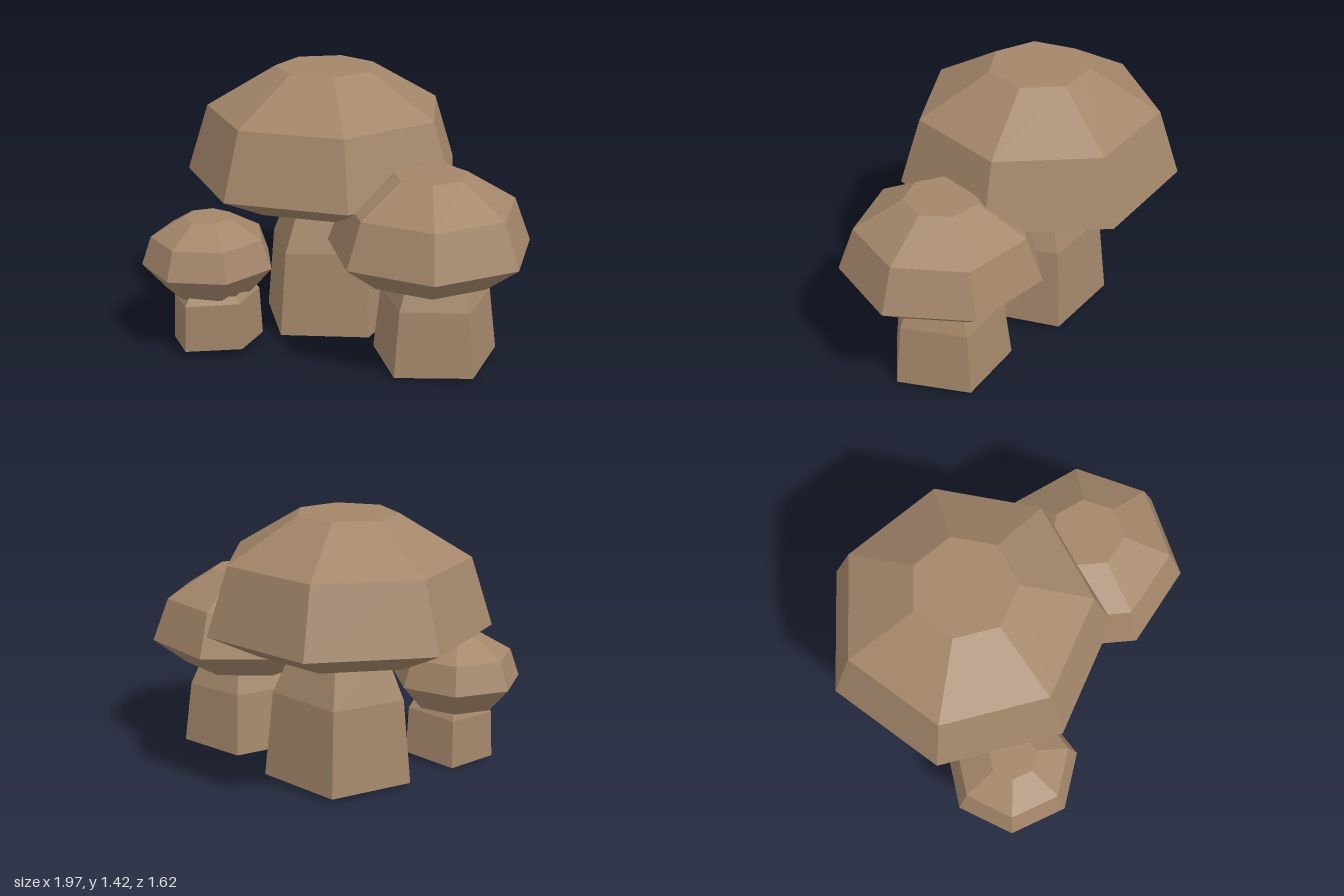
import * as THREE from 'three';

// Skin a stack of regular rings, each [y, radius, tiltX, tiltZ], with optional end discs.
function loft(rings, sides, startDeg, closed) {
  const pos = [], index = [];
  for (const [y, r, tiltX = 0, tiltZ = 0] of rings) {
    for (let i = 0; i < sides; i++) {
      const a = THREE.MathUtils.degToRad(startDeg) + (i / sides) * Math.PI * 2;
      const x = Math.cos(a) * r, z = Math.sin(a) * r;
      pos.push(x, y + x * tiltX + z * tiltZ, z);
    }
  }
  for (let k = 0; k < rings.length - 1; k++) {
    for (let i = 0; i < sides; i++) {
      const j = (i + 1) % sides;
      const a = k * sides + i, b = k * sides + j;
      index.push(a, a + sides, b, b, a + sides, b + sides);
    }
  }
  if (closed) {
    const top = (rings.length - 1) * sides;
    for (let i = 1; i < sides - 1; i++) {
      index.push(0, i, i + 1);
      index.push(top, top + i + 1, top + i);
    }
  }
  const geo = new THREE.BufferGeometry();
  geo.setAttribute('position', new THREE.Float32BufferAttribute(pos, 3));
  geo.setIndex(index);
  const flat = geo.toNonIndexed();
  flat.computeVertexNormals();
  return flat;
}

// Seven-sided caps on five-sided, open-bottomed stems.
const MUSHROOMS = [
  {
    name: 'largeMushroom',
    cap: { at: [-0.23, -0.075], start: 5, rings: [[0.72, 0.48], [0.85, 0.745], [1.2, 0.633], [1.42, 0.265]] },
    stem: { at: [-0.2, -0.07], start: 36, rings: [[0.03, 0.4, 0.02], [0.48, 0.355, 0.03], [0.74, 0.24]] },
  },
  {
    name: 'mediumMushroom',
    cap: { at: [0.48, 0.215], start: 14.5, rings: [[0.48, 0.345], [0.62, 0.528], [0.85, 0.442], [1.005, 0.19]] },
    stem: { at: [0.505, 0.195], start: 33, rings: [[0.025, 0.335, 0.01, -0.02], [0.36, 0.295], [0.5, 0.23]] },
  },
  {
    name: 'smallMushroom',
    cap: { at: [-0.655, 0.462], start: -5.5, rings: [[0.315, 0.23], [0.45, 0.349], [0.6, 0.297], [0.7, 0.125]] },
    stem: { at: [-0.61, 0.487], start: 29, rings: [[0.028, 0.248, 0.09, 0.08], [0.28, 0.235, 0.09, 0.05], [0.335, 0.2]] },
  },
];

export function createModel() {
  const brown = new THREE.MeshStandardMaterial({ color: 0xa3866a, flatShading: true, side: THREE.DoubleSide });
  brown.name = 'mushroomBrown';

  const model = new THREE.Group();
  model.name = 'mushroomCluster';
  for (const spec of MUSHROOMS) {
    const mushroom = new THREE.Group();
    mushroom.name = spec.name;
    for (const [part, sides] of [['cap', 7], ['stem', 5]]) {
      const { at, start, rings } = spec[part];
      const mesh = new THREE.Mesh(loft(rings, sides, start, part === 'cap'), brown);
      mesh.name = part;
      mesh.position.set(at[0], 0, at[1]);
      mushroom.add(mesh);
    }
    model.add(mushroom);
  }
  return model;
}
